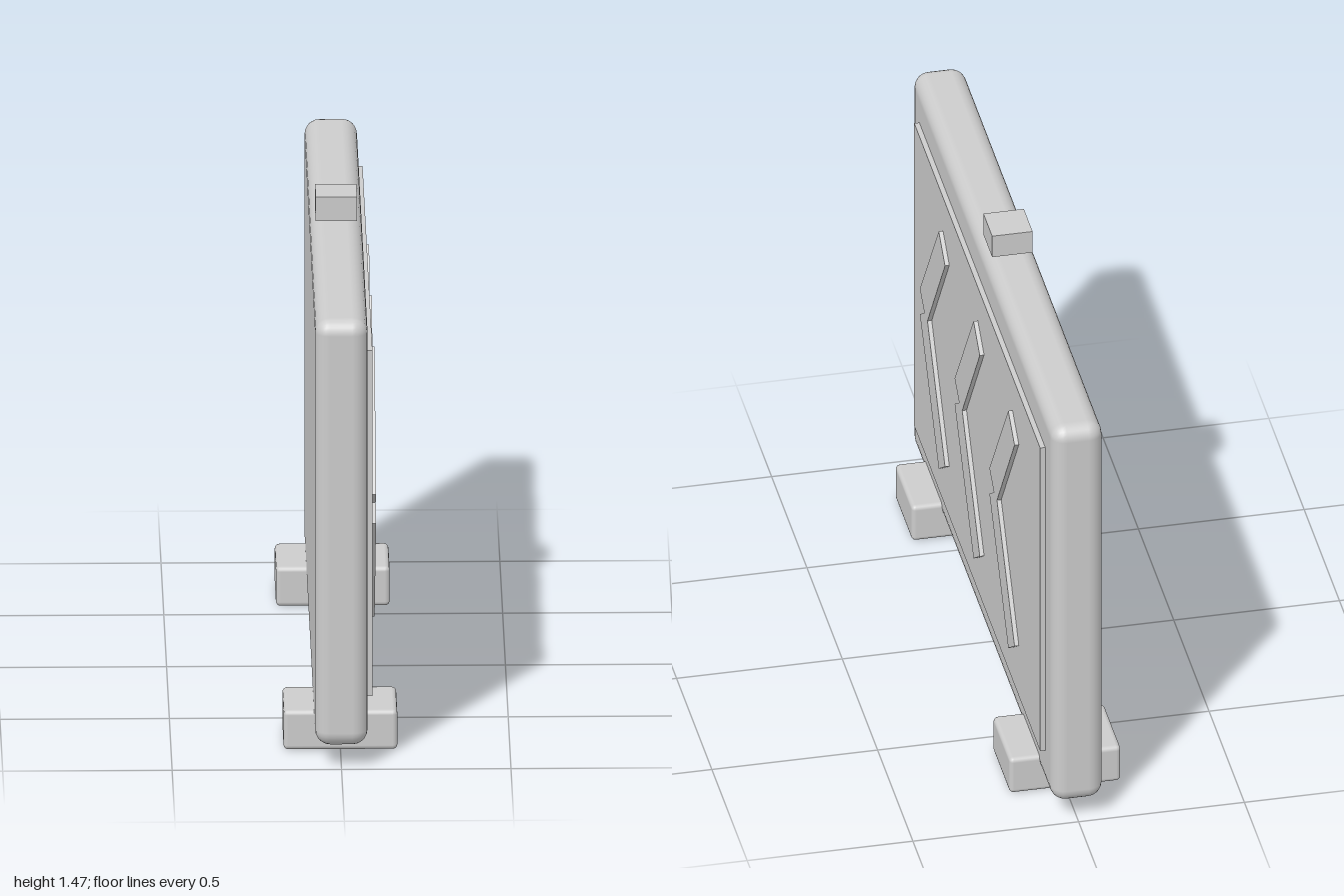
import * as THREE from 'three';
import { RoundedBoxGeometry } from 'three/addons/geometries/RoundedBoxGeometry.js';

export function createModel() {
  const group = new THREE.Group();
  const lightGrey = new THREE.MeshStandardMaterial({ color: 0xcccccc });
  lightGrey.name = 'lightGrey';

  function add(name, geometry, x, y, z) {
    const mesh = new THREE.Mesh(geometry, lightGrey);
    mesh.name = name;
    mesh.position.set(x, y, z);
    group.add(mesh);
    return mesh;
  }

  // Upright board with rounded edges
  add('board', new RoundedBoxGeometry(0.155, 1.32, 2, 3, 0.045), 0, 0.726, 0);

  // Thin display panel on the left face
  add('displayPanel', new THREE.BoxGeometry(0.033, 1.07, 1.782), 0.0765, 0.728, 0);

  // Two feet straddling the bottom edge
  for (const side of [-1, 1]) {
    add('foot', new RoundedBoxGeometry(0.336, 0.122, 0.243, 2, 0.014), 0, 0.061, side * 0.692);
  }

  // Small block above the top edge
  add('topBlock', new THREE.BoxGeometry(0.122, 0.074, 0.124), 0, 1.436, 0);

  // Three raised chevrons pointing forward, drawn as (z, y) and turned to face +x
  const upper = [[0.194, 0], [0.258, 0.045], [-0.009, 0.419], [-0.098, 0.355], [0.151, 0]];
  const lower = [[-0.098, -0.355], [-0.009, -0.419], [0.258, -0.045]];
  const outline = new THREE.Shape([...upper, ...lower].map(([z, y]) => new THREE.Vector2(z, y)));
  const chevron = new THREE.ExtrudeGeometry(outline, { depth: 0.02, bevelEnabled: false });
  chevron.rotateY(-Math.PI / 2);
  for (const i of [-1, 0, 1]) {
    add('chevron', chevron, 0.106, 0.726, i * 0.492);
  }

  return group;
}
